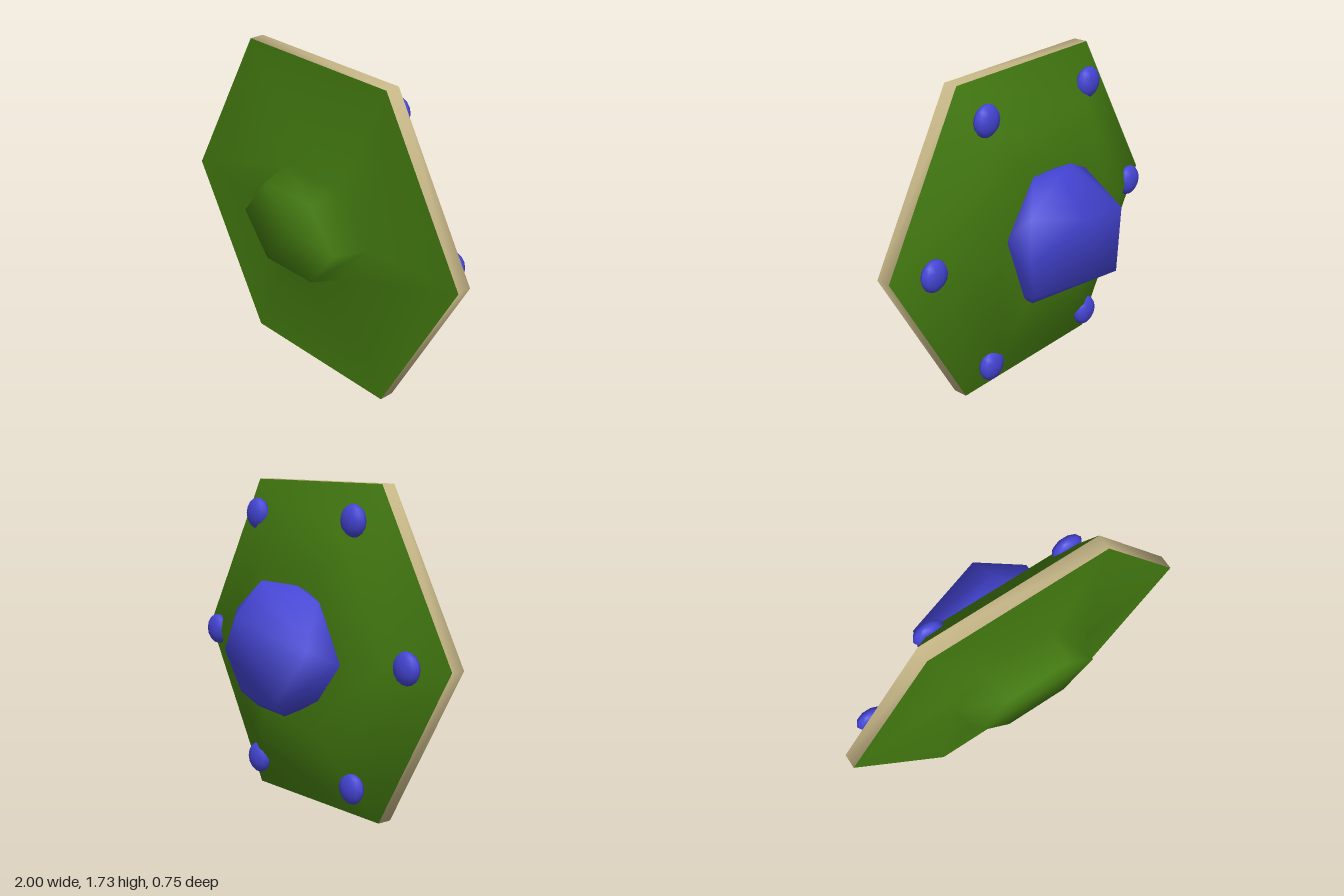
import * as THREE from 'three';
import { mergeVertices } from 'three/addons/utils/BufferGeometryUtils.js';
import { ConvexGeometry } from 'three/addons/geometries/ConvexGeometry.js';

const SIDES = 6;
const MID_Y = Math.sqrt(3) / 2;

// Weld shared corners so the shading runs smoothly over the facets
function smooth(geometry) {
  geometry.deleteAttribute('normal');
  geometry.deleteAttribute('uv');
  const welded = mergeVertices(geometry, 1e-4);
  welded.computeVertexNormals();
  return welded;
}

// Six-sided turned shape about the z axis; profile rows are [radius, z, heightScale]
function hexTurned(profile) {
  const geometry = new THREE.LatheGeometry(
    profile.map(([r, z]) => new THREE.Vector2(r, z)), SIDES, Math.PI / 6);
  geometry.rotateX(Math.PI / 2);
  const pos = geometry.attributes.position;
  for (let i = 0; i < pos.count; i++) {
    const scale = profile[i % profile.length][2] ?? 1;
    pos.setY(i, pos.getY(i) * scale);
  }
  return smooth(geometry);
}

export function createModel() {
  const model = new THREE.Group();
  model.name = 'saucer';
  const green = new THREE.MeshStandardMaterial({ color: 0x437a10 });
  const tan = new THREE.MeshStandardMaterial({ color: 0xc8b888 });
  const blue = new THREE.MeshStandardMaterial({ color: 0x4545d6 });

  function add(name, geometry, material, x = 0, y = 0, z = 0) {
    const mesh = new THREE.Mesh(geometry, material);
    mesh.name = name;
    mesh.position.set(x, MID_Y + y, z);
    model.add(mesh);
    return mesh;
  }

  // Hull: sloped back, rim band, and front with a flattened hexagonal boss
  add('backHull', hexTurned([[0, -0.088], [0.43, -0.088], [0.69, -0.035], [1, 0.1]]), green);
  add('rim', hexTurned([[1, 0.1], [1, 0.18]]), tan);
  add('frontHull', hexTurned([
    [1, 0.18], [0.41, 0.205, 0.73], [0.35, 0.375, 0.72], [0, 0.375],
  ]), green);

  // Faceted dome: outer corners, then a ring sunk into the hull
  const domePoints = [
    [0.09, 0.17, -0.374], [-0.21, -0.245, -0.35], [-0.36, 0.05, -0.265],
    [0.365, -0.04, -0.245], [0.09, 0.36, -0.2], [0.31, 0.19, -0.2],
    [0.28, -0.26, -0.2], [0.22, -0.34, -0.13], [0, -0.36, -0.12],
    [-0.41, -0.03, -0.09], [-0.25, 0.27, -0.1], [-0.1, 0.345, -0.12],
    [0.16, 0.34, -0.09], [0.36, 0.05, -0.08],
    [-0.4, -0.03, -0.04], [-0.23, 0.27, -0.04], [0.14, 0.33, -0.04],
    [0.35, 0.05, -0.04], [0.22, -0.33, -0.04], [-0.24, -0.24, -0.04],
  ].map((p) => new THREE.Vector3(...p));
  add('dome', smooth(new ConvexGeometry(domePoints)), blue);

  // Lamps, one near each corner of the back
  const lampGeometry = new THREE.SphereGeometry(0.085, 10, 8);
  for (let i = 0; i < SIDES; i++) {
    const a = (i * Math.PI * 2) / SIDES;
    const lamp = add('lamp', lampGeometry, blue, 0.79 * Math.cos(a), 0.79 * Math.sin(a), 0.005);
    lamp.scale.z = 0.52;
  }
  return model;
}
